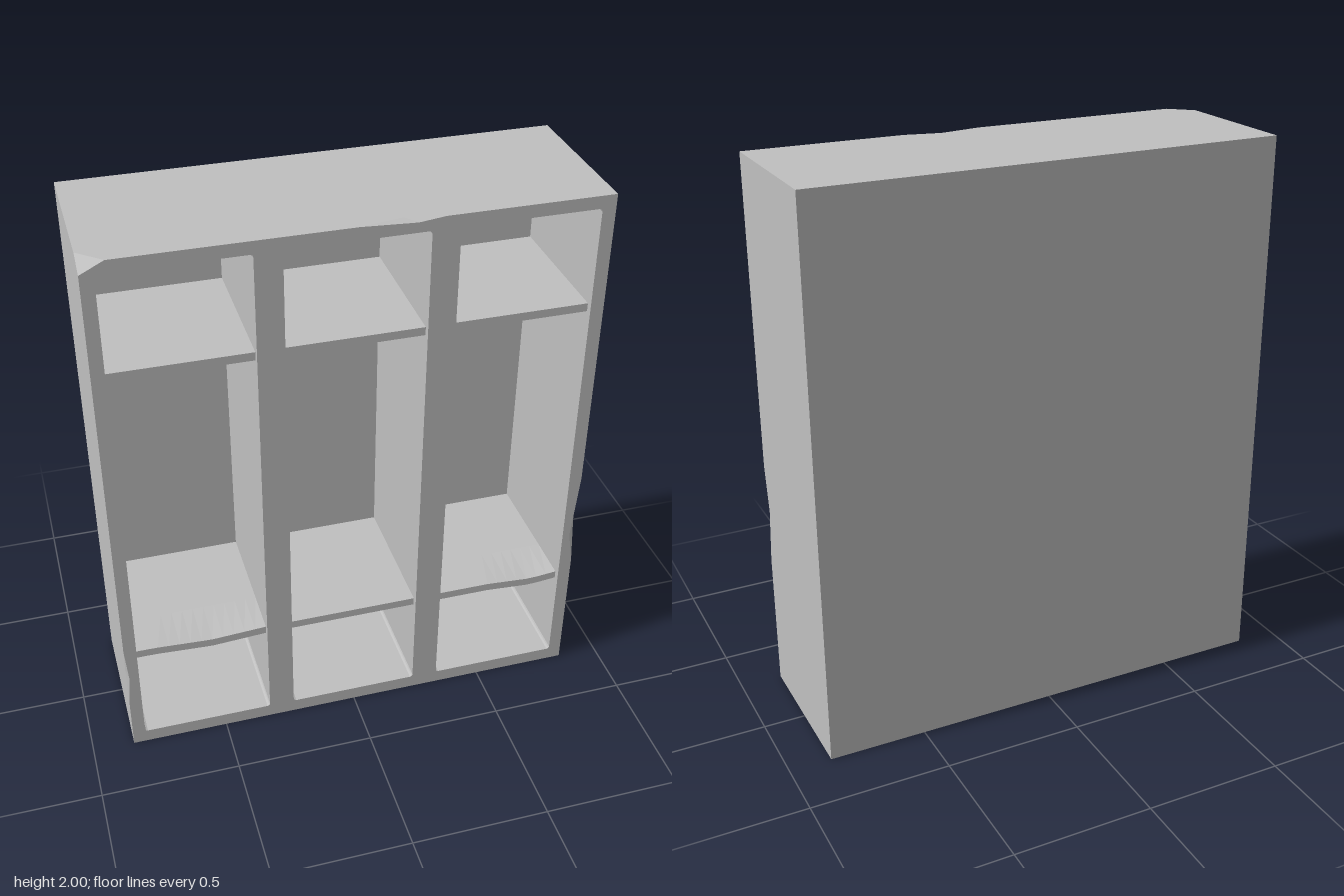
import * as THREE from 'three';

const W = 0.85, H = 2, D = 0.285, BACK = -0.24, LIP = 0.262;
const cells = [[-0.805, -0.33], [-0.238, 0.235], [0.33, 0.803]];
const CELL_Y0 = 0.05, CELL_Y1 = 1.955;
const v2 = ([x, y]) => new THREE.Vector2(x, y);

// Outline of one opening, with slightly rounded corners, counter-clockwise
function cellOutline([x0, x1]) {
  const r = 0.01, pts = [];
  const corners = [[x1 - r, CELL_Y1 - r], [x0 + r, CELL_Y1 - r], [x0 + r, CELL_Y0 + r], [x1 - r, CELL_Y0 + r]];
  corners.forEach(([cx, cy], i) => {
    for (let k = 0; k <= 2; k++) {
      const a = (i + k / 2) * Math.PI / 2;
      pts.push([cx + r * Math.cos(a), cy + r * Math.sin(a)]);
    }
  });
  return pts;
}

// Triangles facing a chosen outward direction
function facets(triangles, outward) {
  const out = new THREE.Vector3(...outward), pos = [];
  for (const tri of triangles) {
    const [a, b, c] = tri.map(p => new THREE.Vector3(...p));
    const n = b.clone().sub(a).cross(c.clone().sub(a));
    for (const p of n.dot(out) < 0 ? [a, c, b] : [a, b, c]) pos.push(p.x, p.y, p.z);
  }
  const g = new THREE.BufferGeometry();
  g.setAttribute('position', new THREE.Float32BufferAttribute(pos, 3));
  g.computeVertexNormals();
  return g;
}

// Flat panel from a 2D outline, placed in space by a mapping
function panel(outline, place, outward, holes = []) {
  const pts = outline.map(v2), hs = holes.map(h => h.map(v2));
  const all = [...outline, ...holes.flat()];
  const tris = THREE.ShapeUtils.triangulateShape(pts, hs).map(t => t.map(i => place(...all[i])));
  return facets(tris, outward);
}

// Inner walls of one opening, facing the middle of the opening
function cellWalls(outline) {
  const pos = [];
  outline.forEach(([x0, y0], i) => {
    const [x1, y1] = outline[(i + 1) % outline.length];
    pos.push(x0, y0, D, x1, y1, BACK, x0, y0, BACK, x0, y0, D, x1, y1, D, x1, y1, BACK);
  });
  const g = new THREE.BufferGeometry();
  g.setAttribute('position', new THREE.Float32BufferAttribute(pos, 3));
  g.computeVertexNormals();
  return g;
}

// Shelf board whose front edge can be worn down at one spot
function shelfBoard([x0, x1], y, wear) {
  const depth = LIP - BACK;
  const g = new THREE.BoxGeometry(x1 - x0, 0.03, depth, wear ? 12 : 1, 1, wear ? 3 : 1);
  g.translate((x0 + x1) / 2, y, BACK + depth / 2);
  if (wear) {
    const p = g.attributes.position, [from, mid, to] = wear;
    for (let i = 0; i < p.count; i++) {
      if (p.getZ(i) < LIP - 0.01) continue;
      const x = p.getX(i);
      const t = x < mid ? (x - from) / (mid - from) : (to - x) / (to - mid);
      p.setY(i, p.getY(i) - 0.012 * Math.max(0, Math.min(1, t)));
    }
  }
  const flat = g.toNonIndexed();
  flat.computeVertexNormals();
  return flat;
}

export function createModel() {
  const group = new THREE.Group();
  const grey = new THREE.MeshStandardMaterial({ color: 0xc0c0c0 });
  grey.name = 'grey';
  const add = (name, geometry) => {
    const m = new THREE.Mesh(geometry, grey);
    m.name = name;
    group.add(m);
  };
  const outlines = cells.map(cellOutline);

  // Front frame with three openings and chipped edges
  add('frontFrame', panel([
    [-W, 0], [W, 0], [W, 0.5], [0.83, 0.62], [W, 0.88], [W, H], [0.28, H], [0.19, 1.99], [0, H],
    [-0.77, H], [-W, 1.96], [-W, 0.46], [-0.84, 0.33], [-W, 0.2],
  ], (x, y) => [x, y, D], [0, 0, 1], outlines));

  // Outer case
  add('backPanel', panel([[-W, 0], [W, 0], [W, H], [-W, H]], (x, y) => [x, y, -D], [0, 0, -1]));
  add('basePanel', panel([[-W, -D], [W, -D], [W, D], [-W, D]], (x, z) => [x, 0, z], [0, -1, 0]));
  add('topPanel', panel([
    [-W, -D], [W, -D], [W, D], [0.28, D], [0.15, 0.258], [0, D], [-0.77, D], [-W, 0.213],
  ], (x, z) => [x, H, z], [0, 1, 0]));
  add('leftSide', panel([
    [-D, 0], [D, 0], [D, 0.5], [0.257, 0.71], [D, 0.88], [D, H], [-D, H],
  ], (z, y) => [W, y, z], [1, 0, 0]));
  add('rightSide', panel([
    [-D, 0], [D, 0], [D, 0.2], [0.27, 0.36], [D, 0.46], [D, 1.96], [0.213, H], [-D, H],
  ], (z, y) => [-W, y, z], [-1, 0, 0]));

  // Chips broken out of the front edges: two ends and one point on each face
  const edgeChip = (p, q, a, b, outward) => add('edgeChip', facets([[p, a, b], [q, a, b]], outward));
  edgeChip([0, H, D], [0.28, H, D], [0.19, 1.99, D], [0.15, H, 0.258], [0, 1, 1]);
  edgeChip([W, 0.5, D], [W, 0.88, D], [0.83, 0.62, D], [W, 0.71, 0.257], [1, 0, 1]);
  edgeChip([-W, 0.2, D], [-W, 0.46, D], [-0.84, 0.33, D], [-W, 0.36, 0.27], [-1, 0, 1]);
  add('cornerChip', facets([[[-0.77, H, D], [-W, 1.96, D], [-W, H, 0.213]]], [-1, 1, 1]));

  // Three compartments, each with an upper and a lower shelf
  const wear = [[-0.74, -0.53, -0.33], null, [0.53, 0.7, 0.82]];
  cells.forEach((cell, i) => {
    add('compartmentWalls', cellWalls(outlines[i]));
    add('compartmentBack', panel(outlines[i], (x, y) => [x, y, BACK], [0, 0, 1]));
    add('upperShelf', shelfBoard(cell, 1.585, null));
    add('lowerShelf', shelfBoard(cell, 0.417, wear[i]));
  });
  return group;
}
